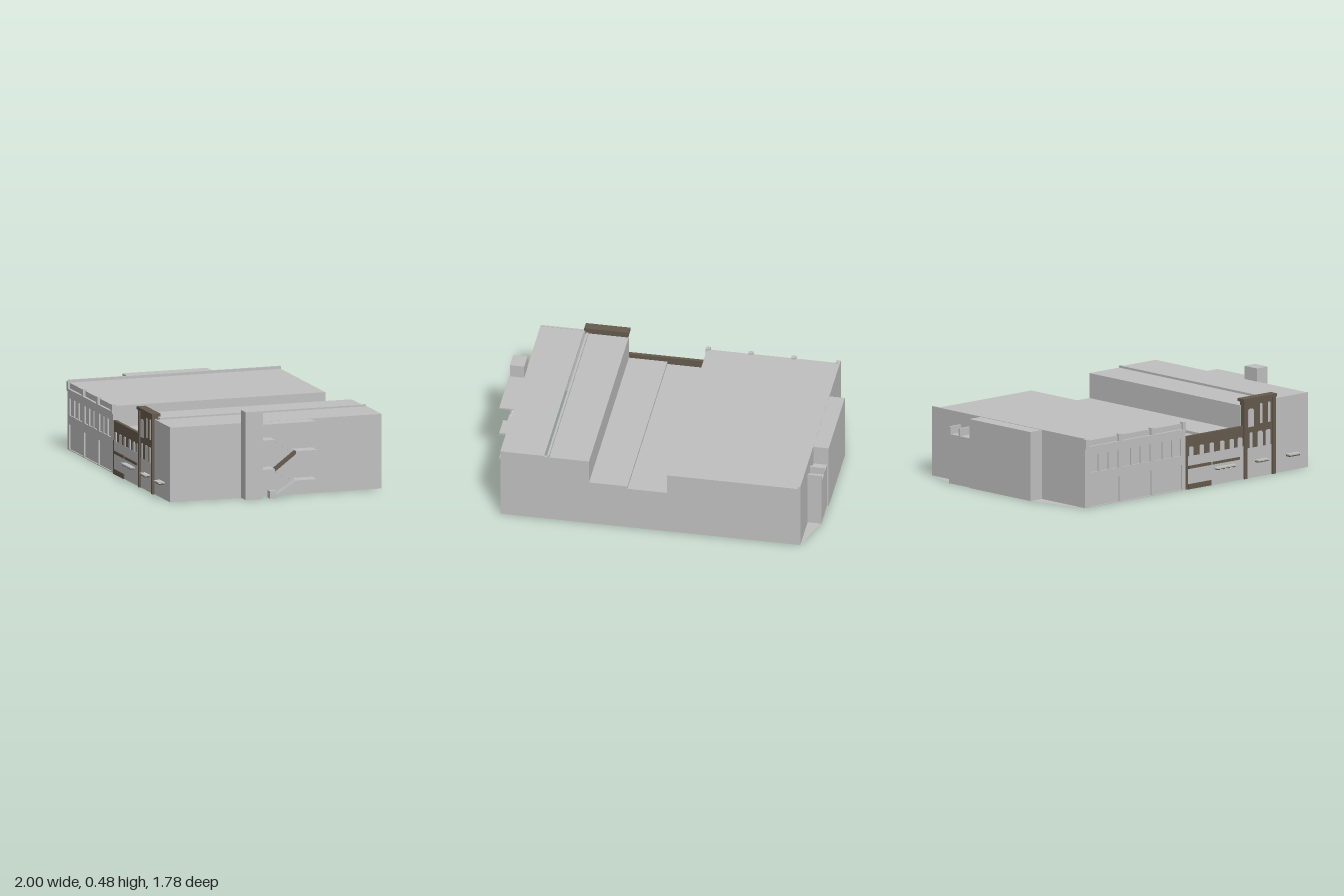
import * as THREE from 'three';

const mat = (name, color) => {
  const m = new THREE.MeshStandardMaterial({ color, side: THREE.DoubleSide });
  m.name = name;
  return m;
};

export function createModel() {
  const grey = mat('pale concrete', 0xbfbfbf);
  const brown = mat('brown stone', 0x655a4d);

  const model = new THREE.Group();
  // Block axes: u runs along the street front, v runs back from it
  const block = new THREE.Group();
  block.name = 'buildingBlock';
  block.rotation.y = -THREE.MathUtils.degToRad(24.4);
  block.position.set(-0.997, 0, 0.21);
  model.add(block);

  const add = (name, geo, material) => {
    const m = new THREE.Mesh(geo, material);
    m.name = name;
    block.add(m);
    return m;
  };
  const box = (name, material, u0, u1, y0, y1, v0, v1) => {
    const m = add(name, new THREE.BoxGeometry(u1 - u0, y1 - y0, v1 - v0), material);
    m.position.set((u0 + u1) / 2, (y0 + y1) / 2, -(v0 + v1) / 2);
    return m;
  };
  const rectPath = (u0, u1, y0, y1) => new THREE.Path([
    new THREE.Vector2(u0, y0), new THREE.Vector2(u0, y1),
    new THREE.Vector2(u1, y1), new THREE.Vector2(u1, y0)]);
  // Window panel with a rounded head
  const arch = (name, u, w, y0, y1, vFront, depth) => {
    const r = w / 2;
    const s = new THREE.Shape();
    s.moveTo(u - r, y0);
    s.lineTo(u + r, y0);
    s.lineTo(u + r, y1 - r * 0.6);
    s.quadraticCurveTo(u + r, y1, u, y1);
    s.quadraticCurveTo(u - r, y1, u - r, y1 - r * 0.6);
    const geo = new THREE.ExtrudeGeometry(s, { depth, bevelEnabled: false, curveSegments: 4 });
    add(name, geo, grey).position.z = -vFront - depth;
  };

  const D = 1.205, W = 1.64;

  // Closed blocks on the left and in the middle
  box('largeHall', grey, 0, 0.73, 0, 0.365, 0, D);
  box('lowHall', grey, 0.73, 0.945, 0, 0.25, 0.01, D);
  box('middleHall', grey, 0.945, 1.155, 0, 0.265, 0.01, D);
  box('hallParapet', grey, 0, 0.012, 0.365, 0.38, 0, D);

  // Ground slab with the angled left edge
  const slab = new THREE.Shape([[0, 0], [0.73, 0], [0.73, D], [0, D], [-0.071, 0.987],
    [-0.083, 0.818], [-0.083, 0.335]].map(p => new THREE.Vector2(...p)));
  add('groundSlab', new THREE.ShapeGeometry(slab).rotateX(-Math.PI / 2), grey);

  // Left side extension with its stepped fins
  box('sideExtension', grey, -0.084, 0, 0, 0.378, 0.335, 0.818);
  box('sideAnnex', grey, -0.075, 0, 0, 0.27, 0.818, 0.985);
  for (const v of [0.9, 0.975]) box('annexFin', grey, -0.077, 0, 0, 0.312, v, v + 0.012);

  // Right block: open shell
  box('rightRoofInner', grey, 1.155, 1.385, 0.394, 0.402, 0.01, D);
  box('rightRoofOuter', grey, 1.4, W, 0.4, 0.408, 0, D);
  box('roofEnd', grey, 1.385, 1.4, 0.39, 0.402, 1.19, D);
  box('roofKerb', grey, 1.373, 1.385, 0.402, 0.414, 0.03, D);
  box('partition', grey, 1.155, 1.161, 0, 0.4, 0.01, D);
  box('backWall', grey, 1.155, W, 0, 0.402, D - 0.008, D);
  box('rightWall', grey, W - 0.008, W, 0, 0.408, 0, D);
  box('rightFrontWall', grey, 1.39, W, 0, 0.41, -0.002, 0.008);

  // Hall street front: piers, lower bays and an upper row of windows
  const front = new THREE.Shape([[0, 0], [0.735, 0], [0.735, 0.33], [0, 0.33]]
    .map(p => new THREE.Vector2(...p)));
  for (const [a, b] of [[0.03, 0.25], [0.27, 0.485], [0.505, 0.71]]) {
    front.holes.push(rectPath(a, b, 0.004, 0.14));
    const w = (b - a) / 3;
    for (let i = 0; i < 3; i++) {
      front.holes.push(rectPath(a + i * w + 0.006, a + (i + 1) * w - 0.006, 0.19, 0.285));
    }
  }
  add('hallFront', new THREE.ExtrudeGeometry(front, { depth: 0.008, bevelEnabled: false }), grey);
  box('hallCornice', grey, 0, 0.735, 0.322, 0.335, -0.014, 0);
  for (const u of [0, 0.245, 0.48, 0.712]) {
    box('pierCap', grey, u, u + 0.024, 0.335, 0.374, -0.013, 0.01);
  }

  // Middle street front: brown upper storey, pale lower storey
  box('middleUpperFront', brown, 0.735, 1.16, 0.17, 0.29, -0.006, 0.012);
  box('middleLowerFront', grey, 0.755, 1.16, 0, 0.18, -0.008, 0.01);
  box('middleEdgePier', brown, 0.735, 0.755, 0, 0.18, -0.008, 0.01);
  for (const u of [0.778, 0.855, 0.928, 1.005, 1.075, 1.135]) {
    arch('middleWindow', u, 0.03, 0.178, 0.232, -0.01, 0.008);
  }
  box('signBand', brown, 0.755, 0.92, 0.112, 0.128, -0.014, 0);
  box('signBand', brown, 0.935, 1.13, 0.112, 0.126, -0.014, 0);
  box('plinthBand', brown, 0.755, 0.92, 0, 0.028, -0.014, 0);

  // Tower front
  box('towerWall', brown, 1.16, 1.39, 0.165, 0.425, -0.01, 0.02);
  box('towerCap', brown, 1.152, 1.396, 0.424, 0.44, -0.02, 0.03);
  box('towerLowerWall', grey, 1.182, 1.368, 0, 0.167, -0.006, 0.01);
  for (const u of [1.16, 1.368]) box('towerPier', brown, u, u + 0.022, 0, 0.425, -0.016, 0.02);
  for (const u of [1.213, 1.28, 1.338]) {
    arch('towerLowerWindow', u, u < 1.25 ? 0.02 : 0.036, 0.165, 0.25, -0.012, 0.034);
  }
  arch('towerTallWindow', 1.213, 0.042, 0.28, 0.38, -0.012, 0.034);
  for (const u of [1.287, 1.345]) arch('towerTallWindow', u, 0.016, 0.29, 0.4, -0.012, 0.034);

  // Small street canopies on brackets
  for (const [a, b] of [[0.94, 1.09], [1.245, 1.325], [1.475, 1.555]]) {
    box('canopy', grey, a, b, 0.088, 0.095, -0.037, 0);
    for (let i = 0; i < 4; i++) {
      const u = a + (b - a) * (i + 0.5) / 4;
      box('canopyBracket', brown, u - 0.007, u + 0.007, 0.081, 0.088, -0.032, 0);
    }
  }

  // Chimney and fire stairs on the right side
  box('chimney', grey, W - 0.002, 1.716, 0, 0.48, 0.402, 0.5);
  box('stairRoof', grey, W, 1.72, 0.399, 0.407, 0.5, 0.8);
  const flight = (material, u0, u1, v0, y0, v1, y1) => {
    const t = 0.014;
    const s = new THREE.Shape([[v0, y0], [v1, y1], [v1, y1 - t], [v0, y0 - t]]
      .map(p => new THREE.Vector2(...p)));
    const geo = new THREE.ExtrudeGeometry(s, { depth: u1 - u0, bevelEnabled: false });
    add('stairFlight', geo.rotateY(Math.PI / 2), material).position.x = u0;
  };
  const mid = 1.68, out = 1.718;
  flight(grey, mid, out, 0.57, 0.014, 0.69, 0.09);
  flight(grey, W, mid, 0.69, 0.09, 0.57, 0.16);
  flight(brown, mid, out, 0.57, 0.16, 0.69, 0.25);
  flight(grey, W, mid, 0.69, 0.25, 0.57, 0.32);
  box('stairFoot', grey, mid, out, 0, 0.04, 0.54, 0.575);
  for (const y of [0.09, 0.25]) box('outerLanding', grey, W, out, y - 0.012, y, 0.69, 0.81);
  for (const y of [0.16, 0.32]) box('innerLanding', grey, W, out, y - 0.012, y, 0.5, 0.57);

  return model;
}
